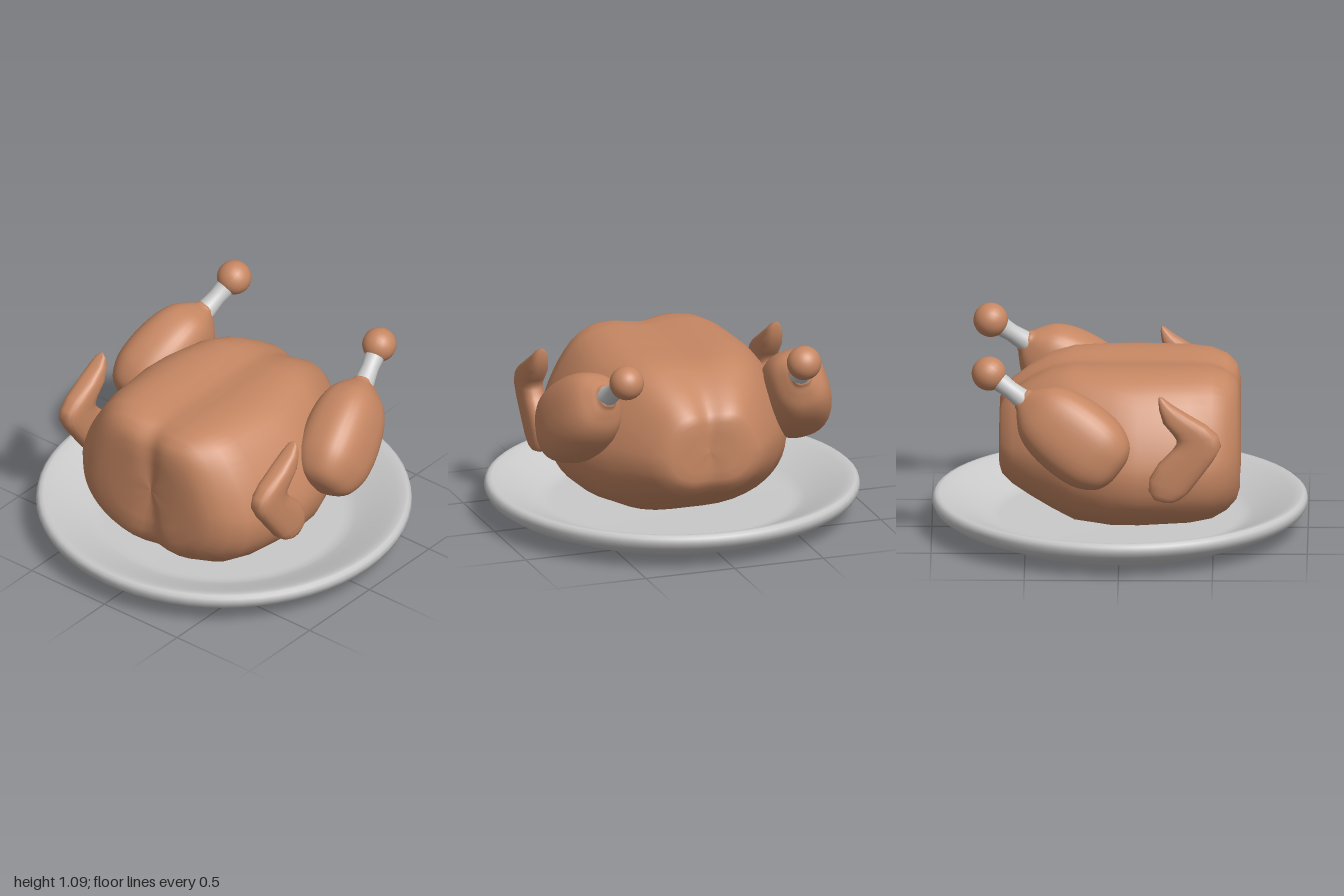
import * as THREE from 'three';

const meat = new THREE.MeshStandardMaterial({ color: 0xc68763 });
meat.name = 'roasted skin';
const china = new THREE.MeshStandardMaterial({ color: 0xc9c9c9 });
china.name = 'pale grey';

const v2 = (list) => list.map(([x, y]) => new THREE.Vector2(x, y));

function part(name, geometry, material) {
  const mesh = new THREE.Mesh(geometry, material);
  mesh.name = name;
  return mesh;
}

// Smooth skin over a row of closed rings, each an array of [x, y, z]
function loft(rings) {
  const n = rings[0].length;
  const index = [];
  for (let i = 0; i < rings.length - 1; i++) {
    for (let j = 0; j < n; j++) {
      const a = i * n + j, b = i * n + (j + 1) % n;
      index.push(a, b, b + n, a, b + n, a + n);
    }
  }
  const geometry = new THREE.BufferGeometry();
  geometry.setAttribute('position', new THREE.Float32BufferAttribute(rings.flat(2), 3));
  geometry.setIndex(index);
  geometry.computeVertexNormals();
  return geometry;
}

// Unit circle bulged towards a square; n = 2 is round
function squircle(count, n) {
  return Array.from({ length: count }, (_, j) => {
    const a = (j / count) * Math.PI * 2;
    const c = Math.cos(a), s = Math.sin(a);
    const f = (Math.abs(c) ** n + Math.abs(s) ** n) ** (-1 / n);
    return [c * f, s * f];
  });
}

// Plate: flat foot, sloping underside, rounded rim, shallow well
function makePlate() {
  const profile = v2([
    [0, 0], [0.71, 0], [0.725, 0.002], [0.74, 0.007], [0.84, 0.048], [0.94, 0.088],
    [0.985, 0.12], [1, 0.155], [0.995, 0.18], [0.98, 0.193], [0.96, 0.195],
    [0.92, 0.182], [0.86, 0.156], [0.78, 0.12], [0.71, 0.089], [0.67, 0.077],
    [0.63, 0.074], [0, 0.074],
  ]);
  return part('plate', new THREE.LatheGeometry(profile, 64), china);
}

// Body: one cross-section, resized along x, with a cleft down the middle
function makeBody() {
  const half = [
    [0, 0.978], [0.13, 0.987], [0.3, 1], [0.5, 0.985], [0.68, 0.91], [0.85, 0.74],
    [0.96, 0.56], [1, 0.42], [0.95, 0.26], [0.78, 0.12], [0.45, 0.02], [0, 0],
  ];
  const outline = [...half, ...half.slice(1, -1).reverse().map(([u, v]) => [-u, v])];
  const curve = new THREE.CatmullRomCurve3(
    outline.map(([u, v]) => new THREE.Vector3(u, v, 0)), true);
  const section = Array.from({ length: 64 }, (_, j) => curve.getPoint(j / 64));

  // x, half width, bottom, top
  const stations = [
    [-0.64, 0, 0.525, 0.525], [-0.64, 0.12, 0.43, 0.62], [-0.64, 0.24, 0.34, 0.71],
    [-0.64, 0.34, 0.26, 0.8], [-0.62, 0.42, 0.2, 0.865], [-0.57, 0.5, 0.15, 0.905],
    [-0.49, 0.57, 0.11, 0.93], [-0.37, 0.61, 0.09, 0.94], [-0.1, 0.645, 0.08, 0.94],
    [0.05, 0.63, 0.08, 0.94], [0.24, 0.56, 0.1, 0.94], [0.36, 0.48, 0.155, 0.915],
    [0.48, 0.4, 0.22, 0.85], [0.57, 0.33, 0.275, 0.79], [0.625, 0.275, 0.325, 0.735],
    [0.64, 0.225, 0.37, 0.69], [0.643, 0.15, 0.42, 0.63], [0.643, 0.08, 0.47, 0.58],
    [0.643, 0, 0.525, 0.525],
  ];
  const rings = stations.map(([x, w, low, high]) => section.map((p) => {
    const z = p.x * w;
    const end = THREE.MathUtils.smoothstep(Math.abs(x), 0.45, 0.62);
    const dent = 0.03 * end * Math.exp(-((z / 0.07) ** 2));
    return [x - Math.sign(x) * dent, low + p.y * (high - low), z];
  }));
  return part('body', loft(rings), meat);
}

// Drumstick: blunt flattened meat, bone and knuckle; y = 0 is the knuckle centre
function makeDrumstick(side) {
  const group = new THREE.Group();
  group.name = side > 0 ? 'leftDrumstick' : 'rightDrumstick';

  const profile = new THREE.SplineCurve(v2([
    [0, -0.87], [0.08, -0.863], [0.15, -0.825], [0.2, -0.74], [0.218, -0.64],
    [0.216, -0.52], [0.197, -0.41], [0.16, -0.325], [0.105, -0.267], [0.07, -0.238],
    [0.052, -0.215], [0, -0.21],
  ])).getPoints(44);
  const section = squircle(40, 2.6);
  const rings = profile.map((p) => section.map(([c, s]) => {
    const r = Math.max(0, p.x);
    return [r * c, p.y, -0.82 * r * s];
  }));
  group.add(part('drumstickMeat', loft(rings), meat));

  const bone = v2([[0.06, -0.26], [0.052, -0.2], [0.047, -0.14], [0.052, -0.08], [0.06, -0.04]]);
  group.add(part('drumstickBone', new THREE.LatheGeometry(bone, 24), china));

  const knuckle = part('drumstickKnuckle', new THREE.SphereGeometry(0.092, 24, 16), meat);
  group.add(knuckle);

  const axis = new THREE.Vector3(0.81, 0.58, -0.2 * side).normalize();
  group.quaternion.setFromUnitVectors(new THREE.Vector3(0, 1, 0), axis);
  group.position.set(0.692, 0.998, 0.5 * side);
  return group;
}

// Wing: a bent, flattened limb given by ribs from outer to inner edge
function makeWing(side) {
  // outer x, outer y, inner x, inner y, half thickness
  const ribs = [
    [-0.213, 0.92, -0.213, 0.92, 0], [-0.235, 0.91, -0.21, 0.89, 0.028],
    [-0.28, 0.872, -0.215, 0.845, 0.046], [-0.37, 0.815, -0.235, 0.775, 0.058],
    [-0.47, 0.755, -0.285, 0.715, 0.061], [-0.525, 0.705, -0.305, 0.685, 0.061],
    [-0.543, 0.645, -0.308, 0.655, 0.061], [-0.5, 0.565, -0.28, 0.615, 0.061],
    [-0.43, 0.47, -0.21, 0.545, 0.06], [-0.37, 0.39, -0.163, 0.465, 0.058],
    [-0.325, 0.352, -0.158, 0.4, 0.052], [-0.285, 0.336, -0.185, 0.355, 0.038],
    [-0.24, 0.331, -0.24, 0.331, 0],
  ];
  const section = squircle(24, 3);
  const rings = ribs.map(([ox, oy, ix, iy, h]) => section.map(([c, s]) => [
    (ox + ix) / 2 + (ox - ix) * c / 2, (oy + iy) / 2 + (oy - iy) * c / 2, -h * s,
  ]));
  const wing = part(side > 0 ? 'leftWing' : 'rightWing', loft(rings), meat);
  wing.position.z = 0.66 * side;
  return wing;
}

export function createModel() {
  const model = new THREE.Group();
  model.name = 'roastBirdOnPlate';
  model.add(makePlate(), makeBody());
  for (const side of [1, -1]) model.add(makeDrumstick(side), makeWing(side));
  return model;
}
